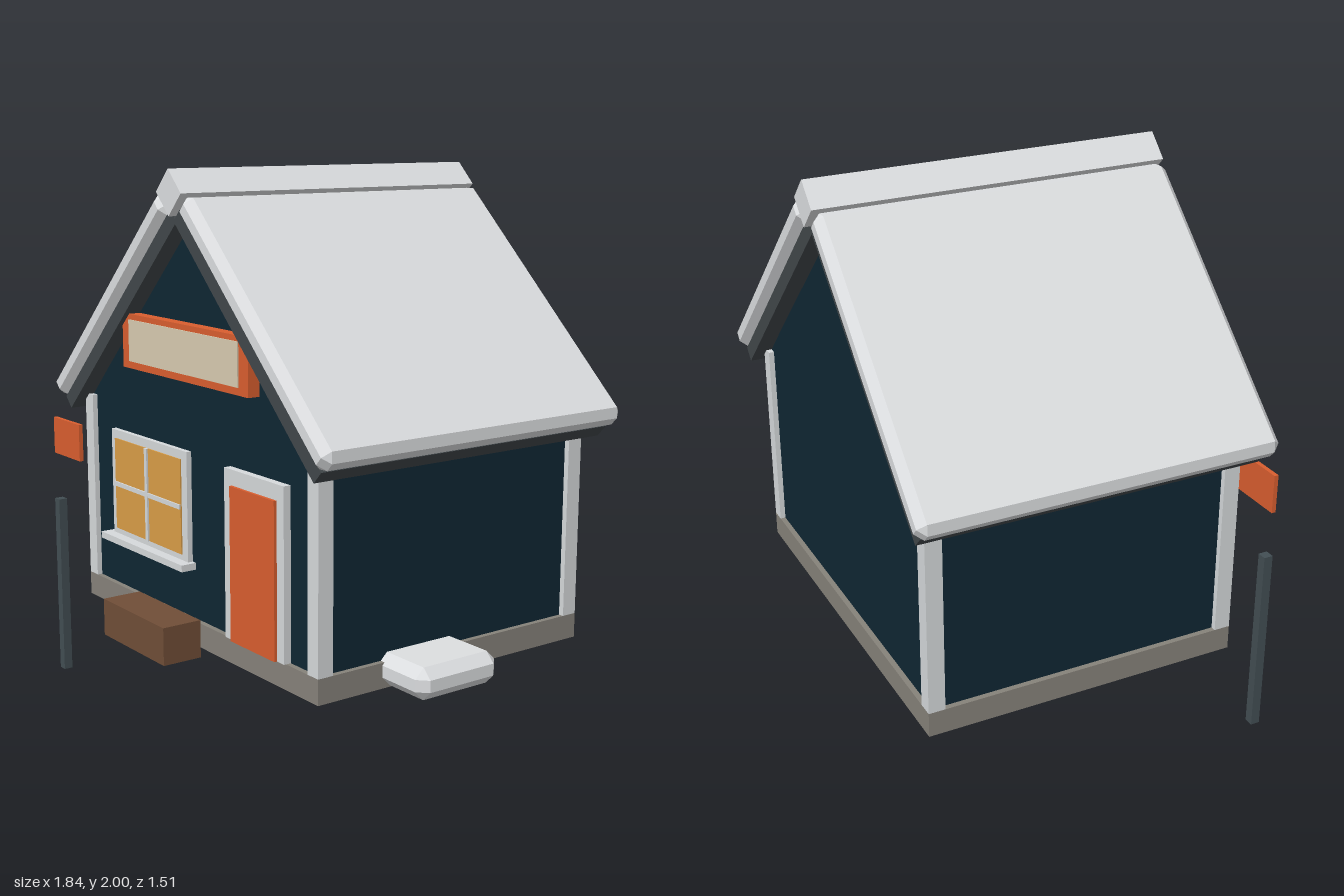
import * as THREE from 'three';
import { ConvexGeometry } from 'three/addons/geometries/ConvexGeometry.js';

const mat = (name, color) => Object.assign(new THREE.MeshStandardMaterial({ color }), { name });

// Box with flat chamfers on every edge
function chamferBox(w, h, d, c) {
  const pts = [];
  for (const i of [-1, 1]) for (const j of [-1, 1]) for (const k of [-1, 1]) {
    const x = w / 2, y = h / 2, z = d / 2;
    pts.push(
      new THREE.Vector3(i * x, j * (y - c), k * (z - c)),
      new THREE.Vector3(i * (x - c), j * y, k * (z - c)),
      new THREE.Vector3(i * (x - c), j * (y - c), k * z));
  }
  return new ConvexGeometry(pts);
}

export function createModel() {
  const model = new THREE.Group();
  model.name = 'cottage';

  const snow = mat('snow', 0xdcdee0);
  const trim = mat('trim', 0xd6d9db);
  const navy = mat('navy wall', 0x0f2633);
  const orange = mat('orange paint', 0xd95e2f);
  const amber = mat('amber glass', 0xd99d47);
  const cream = mat('cream panel', 0xd8cbb0);
  const stone = mat('stone', 0x86827a);
  const wood = mat('brown wood', 0x704e37);
  const slate = mat('slate post', 0x424e53);
  const roofing = mat('dark roofing', 0x41474a);

  const add = (name, geometry, material, parent = model) => {
    const mesh = new THREE.Mesh(geometry, material);
    mesh.name = name;
    parent.add(mesh);
    return mesh;
  };
  // Box from its minimum and maximum on each axis
  const box = (name, material, x0, x1, y0, y1, z0, z1, parent = model) => {
    const mesh = add(name, new THREE.BoxGeometry(x1 - x0, y1 - y0, z1 - z0), material, parent);
    mesh.position.set((x0 + x1) / 2, (y0 + y1) / 2, (z0 + z1) / 2);
    return mesh;
  };

  const CX = -0.04, FRONT = 0.48, BACK = -0.685, HALF = 0.757;

  // Foundation and gabled walls
  box('foundation', stone, CX - HALF, CX + HALF, 0.31, 0.4, BACK, FRONT);
  const inset = 0.02, w = HALF - inset;
  const gable = new THREE.Shape([[-w, 0.39], [w, 0.39], [w, 1.11], [0, 1.83], [-w, 1.11]]
    .map(([x, y]) => new THREE.Vector2(x, y)));
  const walls = add('walls', new THREE.ExtrudeGeometry(gable,
    { depth: FRONT - BACK - 2 * inset, bevelEnabled: false }), navy);
  walls.position.set(CX, 0, BACK + inset);

  // Corner posts
  for (const side of [-1, 1]) for (const [z0, z1] of [[BACK, BACK + 0.06], [FRONT - 0.06, FRONT]]) {
    const a = CX + side * HALF, b = CX + side * (HALF - 0.057);
    box('cornerPost', trim, Math.min(a, b), Math.max(a, b), 0.4, 1.12, z0, z1);
  }

  // Two roof slopes, each a dark slab under a chamfered snow layer
  const pitch = THREE.MathUtils.degToRad(43.5);
  const cos = Math.cos(pitch), sin = Math.sin(pitch);
  const roofZ = -0.1025;
  for (const side of [-1, 1]) {
    // along and out are distances down the slope and away from it
    const lay = (mesh, along, out) => {
      mesh.position.set(CX + side * (along * cos + out * sin), out * cos - along * sin, roofZ);
      mesh.rotation.z = -side * pitch;
    };
    lay(add('roofSlab', new THREE.BoxGeometry(1.105, 0.056, 1.255), roofing), -0.7075, 1.343);
    lay(add('roofSnow', chamferBox(1.115, 0.092, 1.305, 0.028), snow), -0.6995, 1.415);
  }
  const ridge = add('ridgeCap', new THREE.BoxGeometry(0.113, 0.113, 1.305), snow);
  ridge.position.set(CX, 1.92, roofZ);
  ridge.rotation.z = Math.PI / 4;

  // Gable board with a cream panel
  box('gableBoard', orange, -0.45, 0.365, 1.27, 1.47, 0.45, 0.505);
  box('gablePanel', cream, -0.4, 0.31, 1.297, 1.45, 0.503, 0.51);

  // Window
  const win = new THREE.Group();
  win.name = 'window';
  model.add(win);
  box('windowFrame', trim, -0.597, -0.063, 0.605, 1.012, 0.45, 0.48, win);
  box('windowPane', amber, -0.567, -0.1, 0.63, 0.98, 0.478, 0.485, win);
  box('windowBarUpright', trim, -0.34, -0.323, 0.63, 0.98, 0.48, 0.492, win);
  box('windowBarAcross', trim, -0.567, -0.1, 0.797, 0.814, 0.48, 0.491, win);
  box('windowSill', trim, -0.625, -0.042, 0.583, 0.608, 0.45, 0.52, win);

  // Door
  box('doorFrame', trim, 0.19, 0.54, 0.4, 1.005, 0.45, 0.488);
  box('door', orange, 0.238, 0.5, 0.4, 0.95, 0.47, 0.499);

  // Wooden box, post and hanging board in front of the house
  box('woodenBox', wood, -0.187, 0.22, 0.36, 0.493, 0.61, 0.757);
  box('post', slate, -0.875, -0.84, 0, 0.7, 0.553, 0.587);
  box('hangingBoard', orange, -0.885, -0.68, 0.88, 1.022, 0.56, 0.576);

  // Snow mound against the side wall
  add('snowMound', chamferBox(0.32, 0.112, 0.345, 0.035), snow).position.set(0.76, 0.37, 0.042);

  return model;
}
